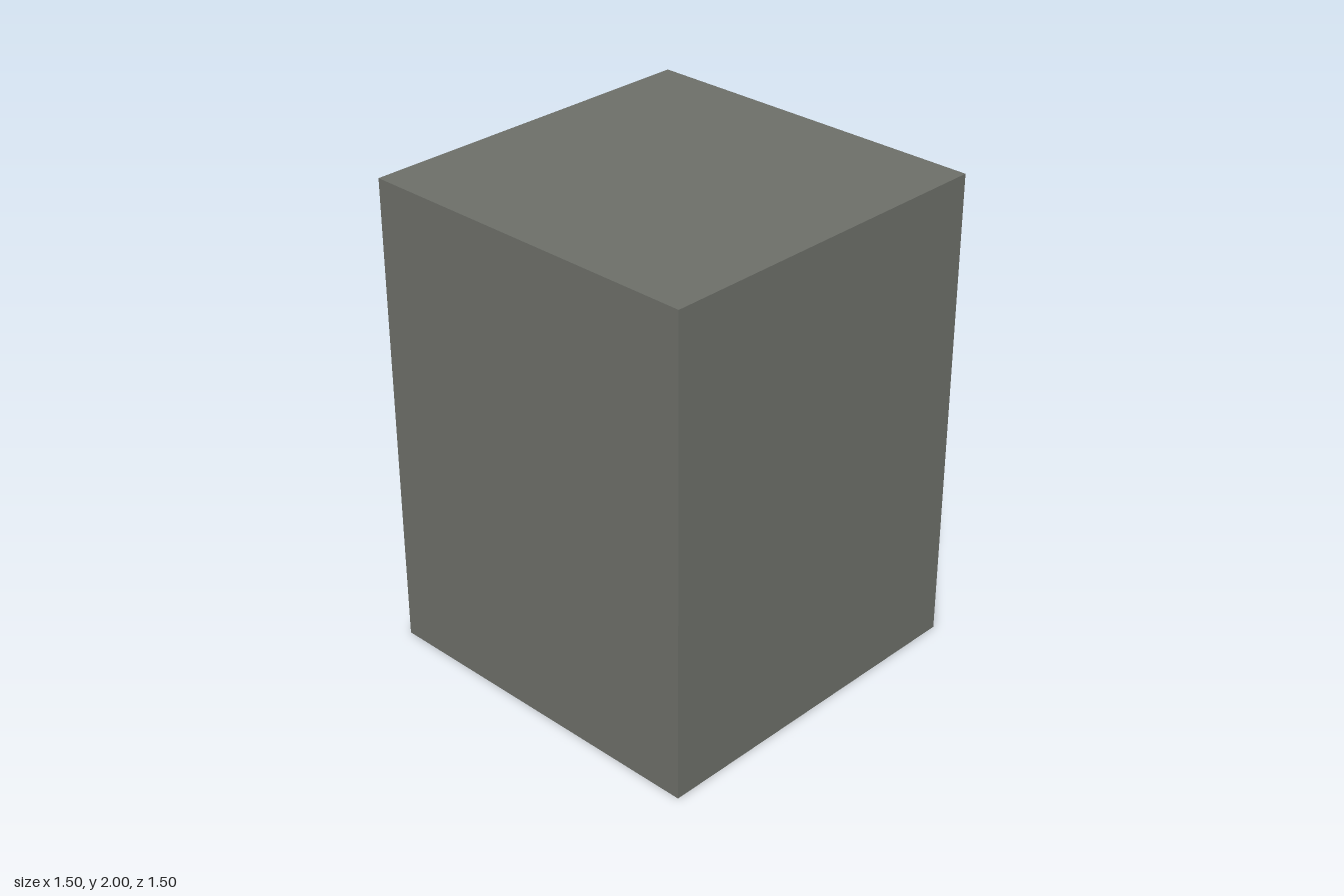
import * as THREE from 'three';

// Lofts rectangular rings [halfWidth, bottom, top, z] into one flat-sided shell, capped at both ends
function loftRings(rings) {
  const corners = rings.map(([w, b, t, z]) => [[w, b, z], [w, t, z], [-w, t, z], [-w, b, z]]);
  const positions = [];
  const quad = (a, b, c, d) => [a, b, c, a, c, d].forEach((p) => positions.push(...p));
  quad(...corners[0]);
  for (let i = 0; i < corners.length - 1; i++) {
    const a = corners[i], b = corners[i + 1];
    for (let k = 0; k < 4; k++) {
      const n = (k + 1) % 4;
      quad(a[k], b[k], b[n], a[n]);
    }
  }
  quad(...[...corners[corners.length - 1]].reverse());
  const geometry = new THREE.BufferGeometry();
  geometry.setAttribute('position', new THREE.Float32BufferAttribute(positions, 3));
  geometry.computeVertexNormals();
  return geometry;
}

// Cuts every corner of a closed outline by a small amount
function chamfer(points, cut) {
  const out = [];
  points.forEach((p, i) => {
    const prev = points[(i + points.length - 1) % points.length];
    const next = points[(i + 1) % points.length];
    for (const q of [prev, next]) {
      out.push(p.clone().add(q.clone().sub(p).setLength(cut)));
    }
  });
  return out;
}

export function createModel() {
  const group = new THREE.Group();
  group.name = 'hollowBlock';
  const darkGrey = new THREE.MeshStandardMaterial({ color: 0x6c6e68 });
  darkGrey.name = 'darkGrey';
  const gold = new THREE.MeshStandardMaterial({ color: 0xae9324 });
  gold.name = 'gold';

  // Block with a recess in the back that narrows slightly inwards
  const body = new THREE.Mesh(loftRings([
    [0.75, 0, 2, 0.75],
    [0.75, 0, 2, -0.75],
    [0.545, 0.417, 1.583, -0.75],
    [0.522, 0.417, 1.583, 0],
  ]), darkGrey);
  body.name = 'body';
  group.add(body);

  // Gold square on the side with a stepped cut-out, laid out on a grid of cells
  const cell = 1 / 12;
  const outline = (cells, cut) => chamfer(
    cells.map(([x, y]) => new THREE.Vector2(-7 * cell + x * cell, 16 * cell + y * cell)), cut);
  const square = new THREE.Shape(outline([[0, 0], [6, 0], [6, 6], [0, 6]], 0.015));
  square.holes.push(new THREE.Path(outline([
    [2, 1], [4, 1], [4, 2], [5, 2], [5, 3], [4, 3], [4, 4],
    [3, 4], [3, 5], [2, 5], [2, 3], [1, 3], [1, 2], [2, 2],
  ], 0.016)));
  const panel = new THREE.Mesh(new THREE.ShapeGeometry(square).rotateY(Math.PI / 2), gold);
  panel.name = 'sidePanel';
  panel.position.x = 0.752;
  group.add(panel);

  return group;
}
